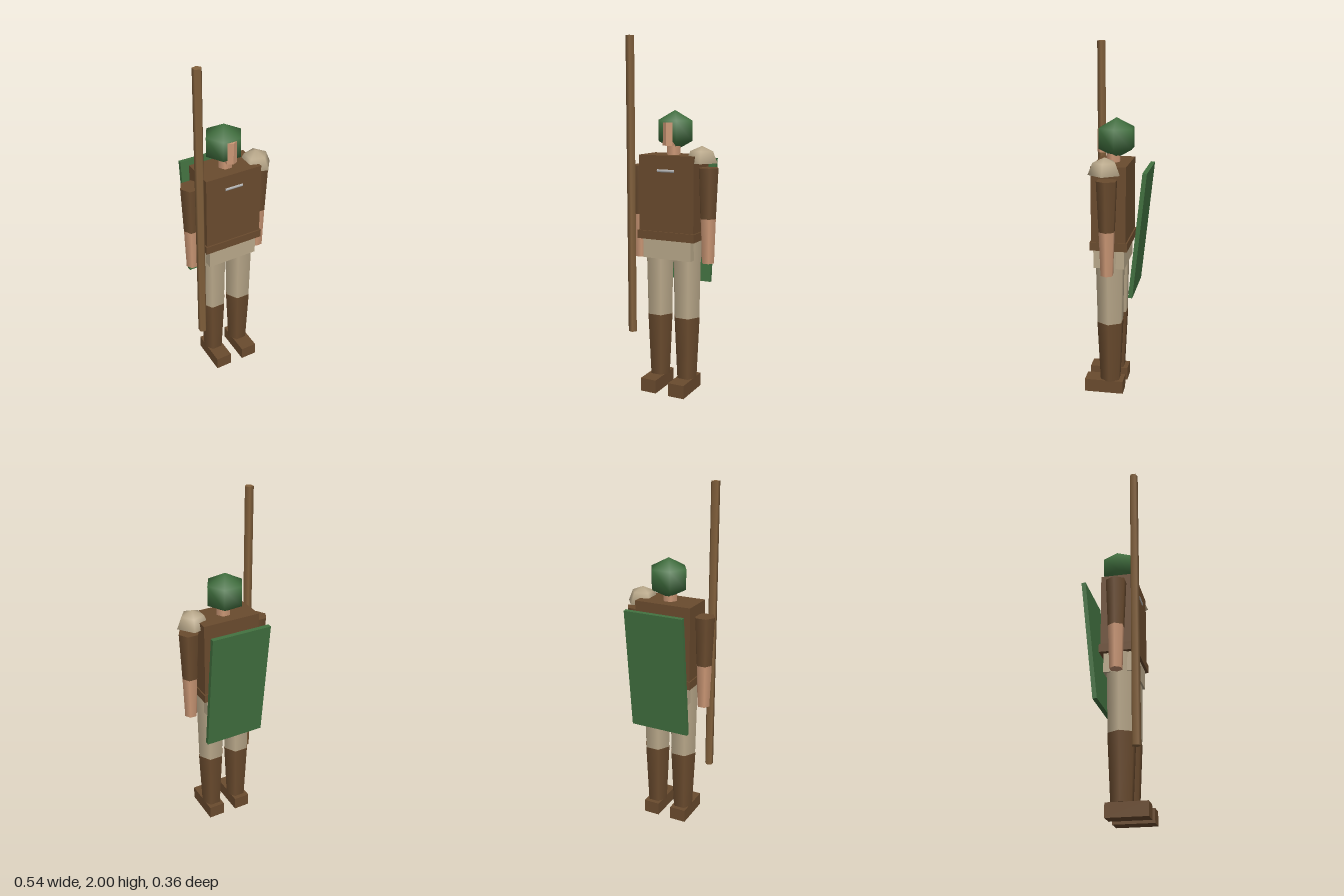
import * as THREE from 'three';

const mat = (name, color, side = THREE.FrontSide) => {
  const m = new THREE.MeshStandardMaterial({ color, side });
  m.name = name;
  return m;
};

export function createModel() {
  const group = new THREE.Group();
  const leather = mat('leather brown', 0x6a4b2e);
  const wood = mat('spear wood', 0x84623d);
  const green = mat('dark green', 0x41703f);
  const linen = mat('linen beige', 0xb9a88a, THREE.DoubleSide);
  const skin = mat('skin', 0xcb9775);
  const metal = mat('clasp metal', 0xb4b4b4);

  const add = (name, geometry, material, x, y, z) => {
    const mesh = new THREE.Mesh(geometry, material);
    mesh.name = name;
    mesh.position.set(x, y, z);
    group.add(mesh);
    return mesh;
  };
  // Box given by its size and its y range
  const box = (name, material, w, d, y0, y1, x, z) =>
    add(name, new THREE.BoxGeometry(w, y1 - y0, d), material, x, (y0 + y1) / 2, z);
  // Tapered prism with a corner pointing to +x
  const limb = (name, material, rTop, rBottom, y0, y1, x, z, sides = 6) => {
    const g = new THREE.CylinderGeometry(rTop, rBottom, y1 - y0, sides);
    g.rotateY(Math.PI / 2);
    return add(name, g, material, x, (y0 + y1) / 2, z);
  };

  // Body
  box('torso', leather, 0.336, 0.193, 0.91, 1.355, 0, 0.03);
  box('belt', leather, 0.35, 0.209, 0.885, 0.932, 0, 0.03);
  box('hips', linen, 0.296, 0.174, 0.775, 0.89, 0, 0.032);

  // Arms and legs
  for (const [side, s] of [['left', 1], ['right', -1]]) {
    limb(side + 'Sleeve', leather, 0.06, 0.047, 1.01, 1.29, s * 0.212, 0.03);
    limb(side + 'Forearm', skin, 0.046, 0.037, 0.76, 1.01, s * 0.213, 0.03);
    limb(side + 'Thigh', linen, 0.088, 0.078, 0.44, 0.885, s * 0.086, 0.034);
    limb(side + 'Boot', leather, 0.08, 0.062, 0.075, 0.44, s * 0.086, 0.034);
    box(side + 'Foot', leather, 0.096, 0.225, 0, 0.077, s * 0.088, 0.067);
  }

  // Head: faceted helmet with a wedge-shaped face
  limb('neck', skin, 0.042, 0.042, 1.33, 1.43, 0, 0.03);
  const helmet = new THREE.SphereGeometry(0.122, 6, 3);
  helmet.scale(1, 0.92, 1);
  add('helmet', helmet, green, 0, 1.487, 0.012);
  const wedge = new THREE.Shape([
    new THREE.Vector2(-0.03, -0.06), new THREE.Vector2(0.03, -0.06),
    new THREE.Vector2(0.03, -0.103), new THREE.Vector2(0, -0.12),
    new THREE.Vector2(-0.03, -0.103),
  ]);
  const face = new THREE.ExtrudeGeometry(wedge, { depth: 0.125, bevelEnabled: false });
  face.rotateX(-Math.PI / 2);
  add('face', face, skin, 0, 1.408, 0);

  // Single shoulder guard, an open dome
  const dome = new THREE.SphereGeometry(0.092, 5, 2, 0, Math.PI * 2, 0, Math.PI / 2);
  dome.rotateY(Math.PI);
  add('shoulderGuard', dome, linen, 0.181, 1.317, 0.046);

  // Chest clasp
  const clasp = new THREE.CylinderGeometry(0.009, 0.009, 0.105, 6);
  clasp.rotateZ(Math.PI / 2);
  add('chestClasp', clasp, metal, 0, 1.271, 0.124);

  // Spear shaft and leaning shield on the back
  limb('spearShaft', wood, 0.025, 0.025, 0.335, 2, -0.211, 0.135, 5);
  const shield = add('backShield', new THREE.BoxGeometry(0.351, 0.712, 0.024), green, 0, 0.973, -0.131);
  shield.rotation.x = -0.106;

  return group;
}
